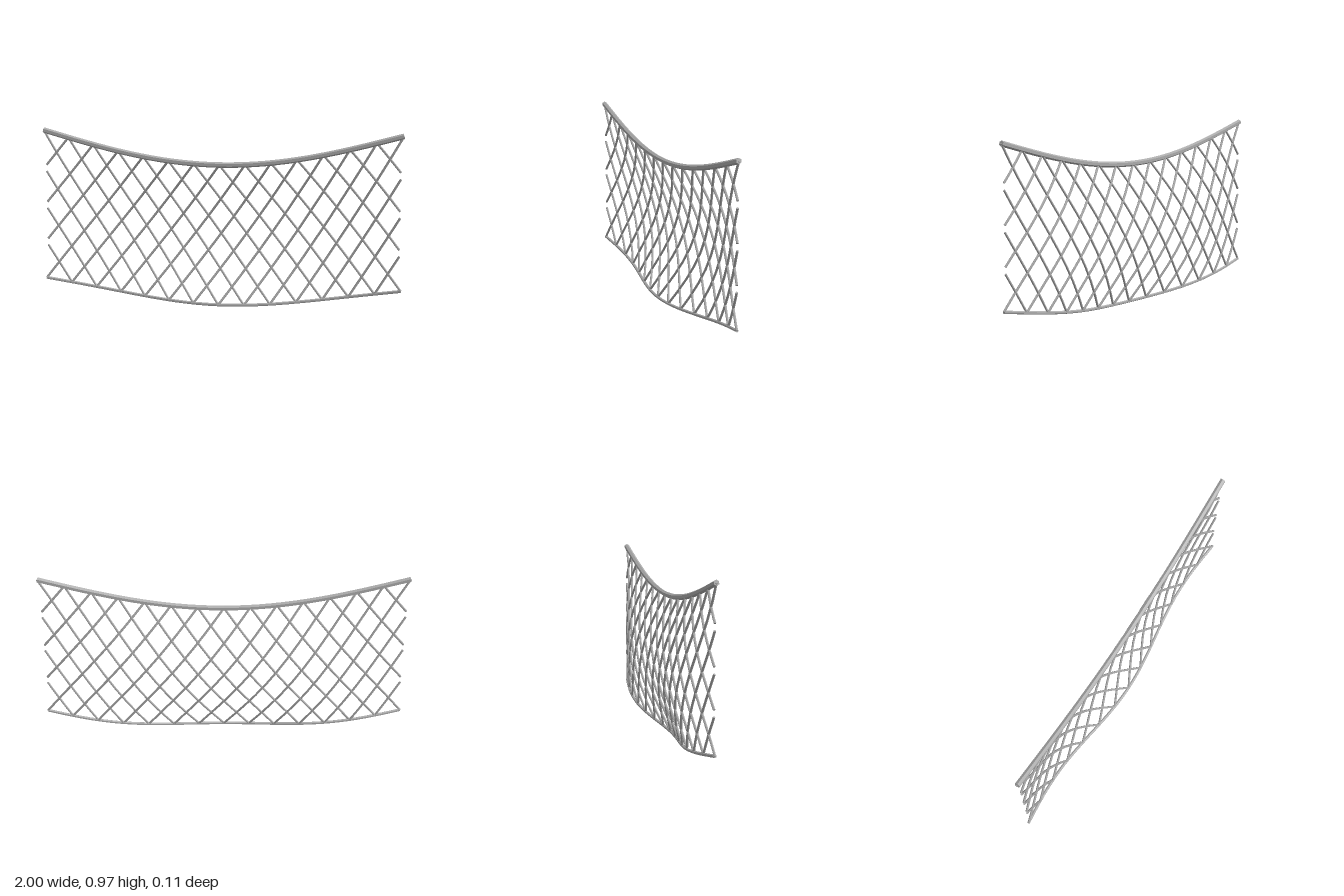
import * as THREE from 'three';

const HALF = 0.993;     // half width of the net
const CELLS = 14;       // knots along the top
const ROWS = 4;         // diamonds from top to bottom
const SIDE = 0.981;     // where cut strands stop at the sides

const sag = (x) => 1 - Math.cos((Math.PI * x) / 2);
const topY = (x) => 0.782 + 0.176 * sag(x);
const bottomY = (x) => 0.01 + 0.111 * sag(x);

// Point on the net: x across, v from 0 (top) to 1 (bottom)
function netPoint(x, v) {
  const y = THREE.MathUtils.lerp(topY(x), bottomY(x), v);
  const bulge = -0.08 * Math.cos((Math.PI * x) / 2) * Math.sin(Math.PI * v);
  const wave = 0.03 * v * Math.cos(1.5 * Math.PI * x);
  return new THREE.Vector3(x, y, 0.018 + bulge + wave);
}

// A closed, faceted six-sided cord with an edge on top, following a rule
function cord(name, rule, steps, radius, material) {
  const points = [];
  for (let i = 0; i <= steps; i++) points.push(rule(i / steps));
  const corners = [];
  for (let i = 0; i < 6; i++) {
    const a = Math.PI / 2 + (i * Math.PI) / 3;
    corners.push(new THREE.Vector2(radius * Math.cos(a), radius * Math.sin(a)));
  }
  const geometry = new THREE.ExtrudeGeometry(new THREE.Shape(corners), {
    steps,
    bevelEnabled: false,
    extrudePath: new THREE.CatmullRomCurve3(points),
  });
  const mesh = new THREE.Mesh(geometry, material);
  mesh.name = name;
  return mesh;
}

export function createModel() {
  const model = new THREE.Group();
  model.name = 'net';
  const grey = new THREE.MeshStandardMaterial({ color: 0xaaaaaa });
  grey.name = 'rope grey';

  // Thick rope on top, thinner rope along the lower edge
  const across = (v) => (t) => netPoint(HALF * (2 * t - 1), v);
  model.add(cord('topRope', across(0), 32, 0.0152, grey));
  model.add(cord('bottomRope', across(1), 32, 0.0085, grey));

  // Diagonal strands in both directions, cut short at the sides
  const cell = (2 * HALF) / CELLS;
  for (const dir of [1, -1]) {
    for (let k = 1 - ROWS; k < CELLS; k++) {
      const start = -HALF + k * cell;
      const span = ROWS * cell;
      const v0 = k < 0 ? (-SIDE - start) / span : 0;
      const v1 = k > CELLS - ROWS ? (SIDE - start) / span : 1;
      const rule = (t) => {
        const v = THREE.MathUtils.lerp(v0, v1, t);
        return netPoint(dir * (start + span * v), v);
      };
      model.add(cord('strand', rule, 10, 0.0064, grey));
    }
  }
  return model;
}
